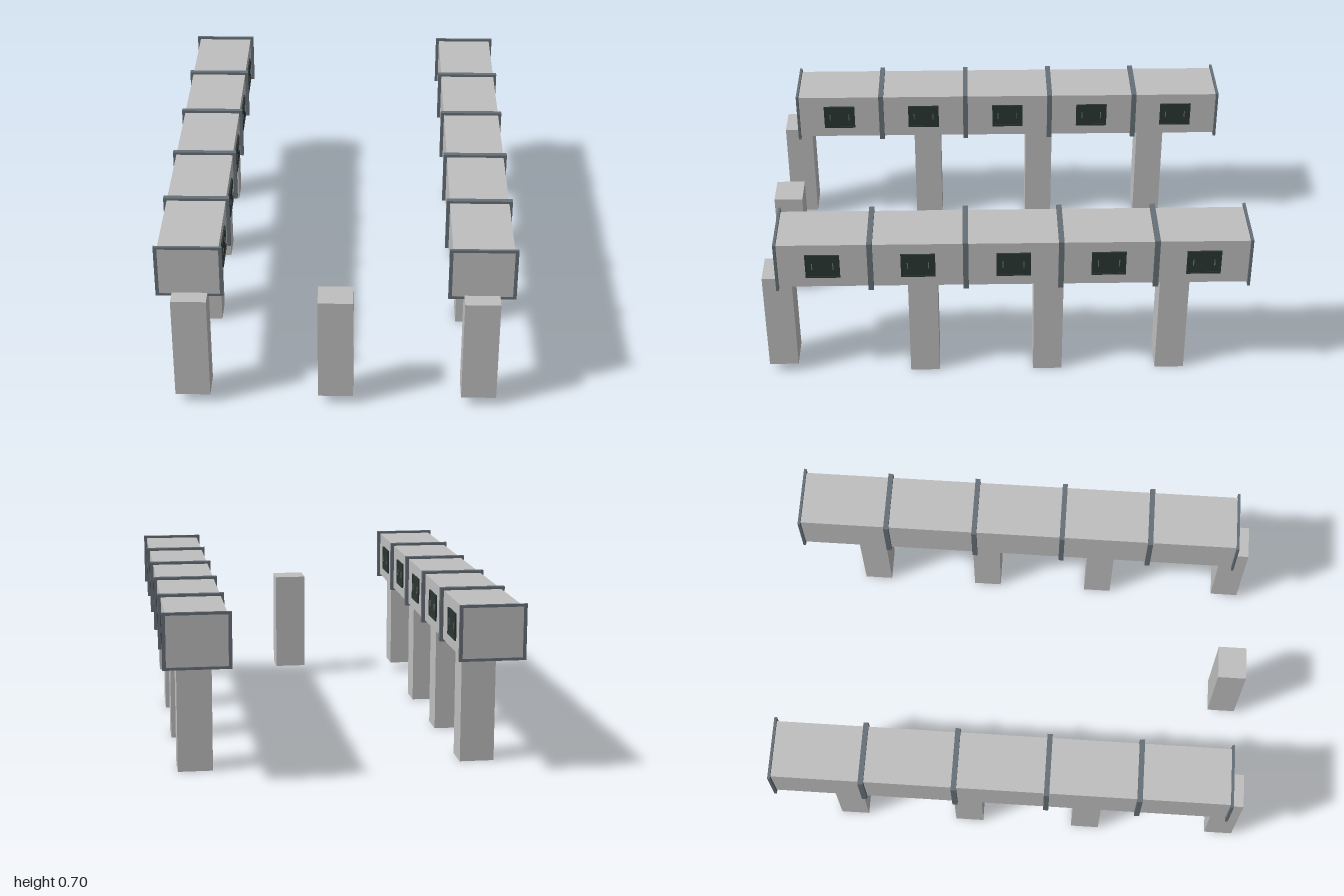
import * as THREE from 'three';

const concrete = new THREE.MeshStandardMaterial({ color: 0xbebebe });
concrete.name = 'pale grey';
const steel = new THREE.MeshStandardMaterial({ color: 0x667077 });
steel.name = 'steel grey';
const glass = new THREE.MeshStandardMaterial({ color: 0x2b3633 });
glass.name = 'dark green glass';

function box(parent, name, material, size, position) {
  const mesh = new THREE.Mesh(new THREE.BoxGeometry(...size), material);
  mesh.name = name;
  mesh.position.set(...position);
  parent.add(mesh);
  return mesh;
}

// Rectangular ring lying in the XY plane, extruded along z
function ringGeometry(w, h, innerW, innerH, depth) {
  const rect = (Type, a, b) => new Type([
    new THREE.Vector2(-a / 2, -b / 2), new THREE.Vector2(a / 2, -b / 2),
    new THREE.Vector2(a / 2, b / 2), new THREE.Vector2(-a / 2, b / 2),
  ]);
  const shape = rect(THREE.Shape, w, h);
  shape.holes.push(rect(THREE.Path, innerW, innerH));
  return new THREE.ExtrudeGeometry(shape, { depth, bevelEnabled: false }).translate(0, 0, -depth / 2);
}

const COUNT = 5, FRONT = 0.935, PITCH = 0.387, RIM = 0.011;
const BODY_Y = 0.59, BODY_W = 0.242, BODY_H = 0.204;

// One corridor section: hull, a rim at each end, a window on its +x wall
function createSection() {
  const section = new THREE.Group();
  section.name = 'section';
  box(section, 'hull', concrete, [BODY_W, BODY_H, PITCH - 0.004], [0, 0, 0]);
  const rim = ringGeometry(0.27, 0.226, BODY_W, BODY_H, RIM);
  for (const s of [-1, 1]) {
    const mesh = new THREE.Mesh(rim, steel);
    mesh.name = 'endRim';
    mesh.position.z = s * (PITCH - RIM) / 2;
    section.add(mesh);
  }

  const wall = BODY_W / 2;
  box(section, 'windowPane', glass, [0.004, 0.1, 0.13], [wall + 0.002, 0, 0]);
  const surround = new THREE.Mesh(ringGeometry(0.14, 0.11, 0.126, 0.096, 0.007), glass);
  surround.name = 'windowSurround';
  surround.rotation.y = Math.PI / 2;
  surround.position.x = wall + 0.0035;
  section.add(surround);
  for (const s of [-1, 1]) {
    box(section, 'windowHandle', steel, [0.006, 0.028, 0.004], [wall + 0.005, 0, s * 0.043]);
  }
  return section;
}

export function createModel() {
  const model = new THREE.Group();
  model.name = 'raisedCorridors';

  for (const side of [-1, 1]) {
    const corridor = new THREE.Group();
    corridor.name = side > 0 ? 'leftCorridor' : 'rightCorridor';
    corridor.position.x = side * 0.58;
    for (let i = 0; i < COUNT; i++) {
      const section = createSection();
      section.position.set(0, BODY_Y, FRONT - PITCH * (i + 0.5));
      corridor.add(section);
    }
    // Full-height pillars under the corridor
    for (const z of [0.34, -0.18, -0.7]) {
      box(corridor, 'pillar', concrete, [0.142, 0.49, 0.122], [0, 0.245, z]);
    }
    model.add(corridor);
  }

  // Front row of shorter pillars, one of them standing free in the middle
  for (const x of [-0.58, 0, 0.58]) {
    box(model, 'frontPillar', concrete, [0.142, 0.451, 0.122], [x, 0.2655, 0.939]);
  }
  return model;
}
